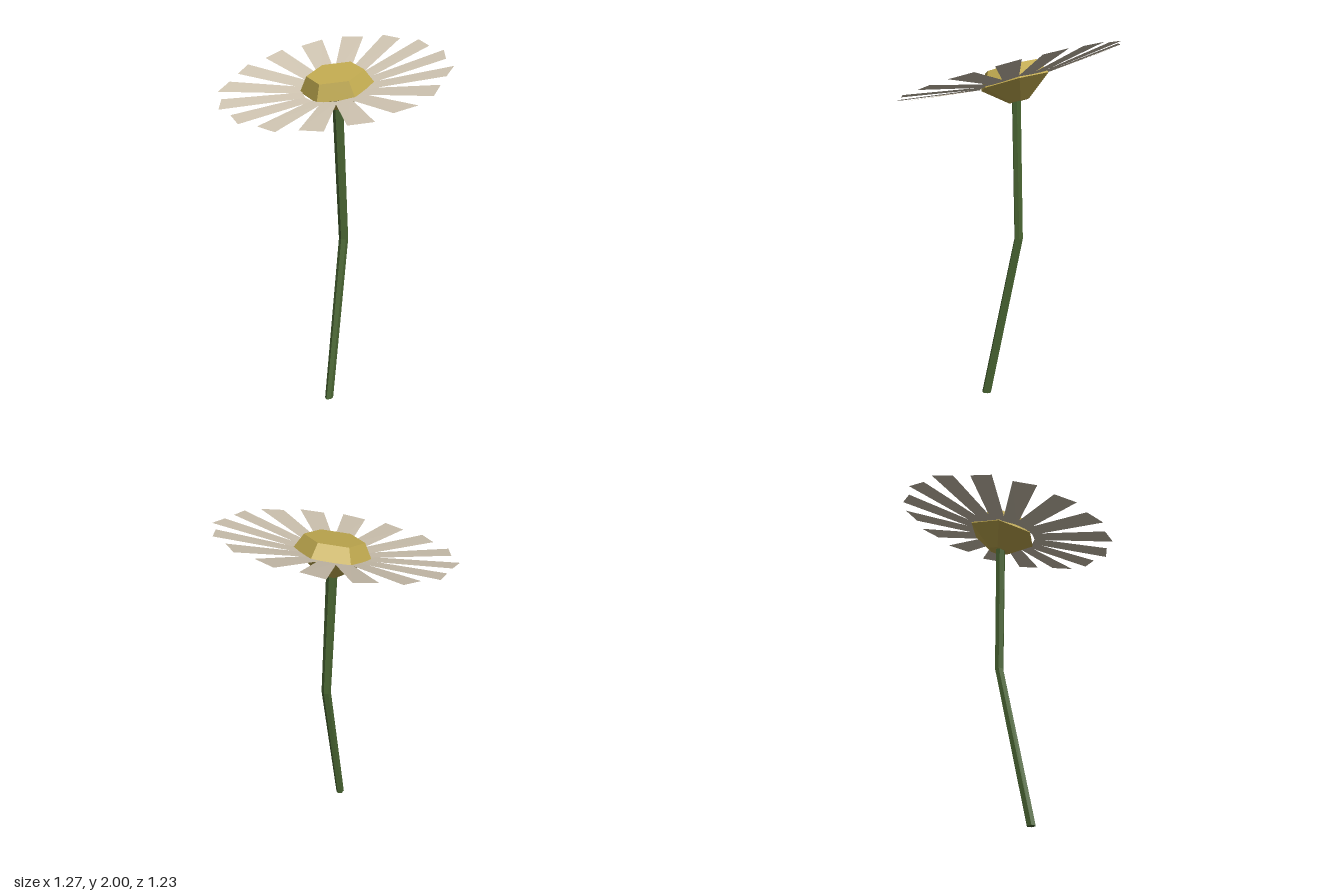
import * as THREE from 'three';

const petalMat = new THREE.MeshStandardMaterial({ color: 0xcfc4b1, side: THREE.DoubleSide });
petalMat.name = 'cream petal';
const discMat = new THREE.MeshStandardMaterial({ color: 0xc2ab50 });
discMat.name = 'golden disc';
const stemMat = new THREE.MeshStandardMaterial({ color: 0x4a6633 });
stemMat.name = 'green stem';

// One normal per face for a faceted look
function faceted(geometry) {
  const flat = geometry.index ? geometry.toNonIndexed() : geometry;
  flat.computeVertexNormals();
  return flat;
}

function part(name, geometry, material) {
  const mesh = new THREE.Mesh(faceted(geometry), material);
  mesh.name = name;
  return mesh;
}

// Six-sided stem lofted through level rings, closed at both ends
function stemGeometry() {
  const rings = [
    { x: 0.046, y: 0, z: 0.133, rx: 0.022, rz: 0.027 },
    { x: 0.02, y: 0.92, z: -0.055, rx: 0.027, rz: 0.025 },
    { x: -0.005, y: 1.71, z: -0.03, rx: 0.031, rz: 0.026 },
  ];
  const sides = 6, positions = [], index = [];
  for (const r of rings) {
    for (let i = 0; i < sides; i++) {
      const a = (i / sides) * Math.PI * 2;
      positions.push(r.x + r.rx * Math.sin(a), r.y, r.z + r.rz * Math.cos(a));
    }
  }
  for (let k = 0; k < rings.length - 1; k++) {
    for (let i = 0; i < sides; i++) {
      const a = k * sides + i, b = k * sides + (i + 1) % sides;
      index.push(a, b, b + sides, a, b + sides, a + sides);
    }
  }
  const top = (rings.length - 1) * sides;
  for (let i = 1; i < sides - 1; i++) {
    index.push(0, i + 1, i, top, top + i, top + i + 1);
  }
  const g = new THREE.BufferGeometry();
  g.setAttribute('position', new THREE.Float32BufferAttribute(positions, 3));
  g.setIndex(index);
  return g;
}

// Flat tapered petal pointing to -z, with a slanted tip
function petalGeometry(longRight) {
  const left = longRight ? 0.607 : 0.637, right = longRight ? 0.637 : 0.607;
  const rise = 0.053;
  const g = new THREE.BufferGeometry();
  g.setAttribute('position', new THREE.Float32BufferAttribute([
    -0.043, 0, -0.175, 0.043, 0, -0.175,
    0.066, rise, -right, -0.066, rise, -left,
  ], 3));
  g.setIndex([0, 1, 2, 0, 2, 3]);
  return g;
}

export function createModel() {
  const flower = new THREE.Group();
  flower.name = 'flower';
  flower.add(part('stem', stemGeometry(), stemMat));

  // Flower head leans towards the front
  const head = new THREE.Group();
  head.name = 'flowerHead';
  head.position.set(0, 1.785, 0);
  head.rotation.x = 0.268;
  flower.add(head);

  // Hexagonal disc
  const profile = [[0, -0.112], [0.06, -0.112], [0.205, -0.005], [0.157, 0.08], [0, 0.08]]
    .map(([r, y]) => new THREE.Vector2(r, y));
  const disc = part('disc', new THREE.LatheGeometry(profile, 6), discMat);
  disc.position.z = -0.02;
  head.add(disc);

  // Ring of petals, a few with the tip slanted the other way
  const count = 16, flipped = [4, 12, 13, 14];
  for (let i = 0; i < count; i++) {
    const petal = part('petal', petalGeometry(flipped.includes(i)), petalMat);
    petal.rotation.y = -(i / count) * Math.PI * 2;
    head.add(petal);
  }
  return flower;
}
